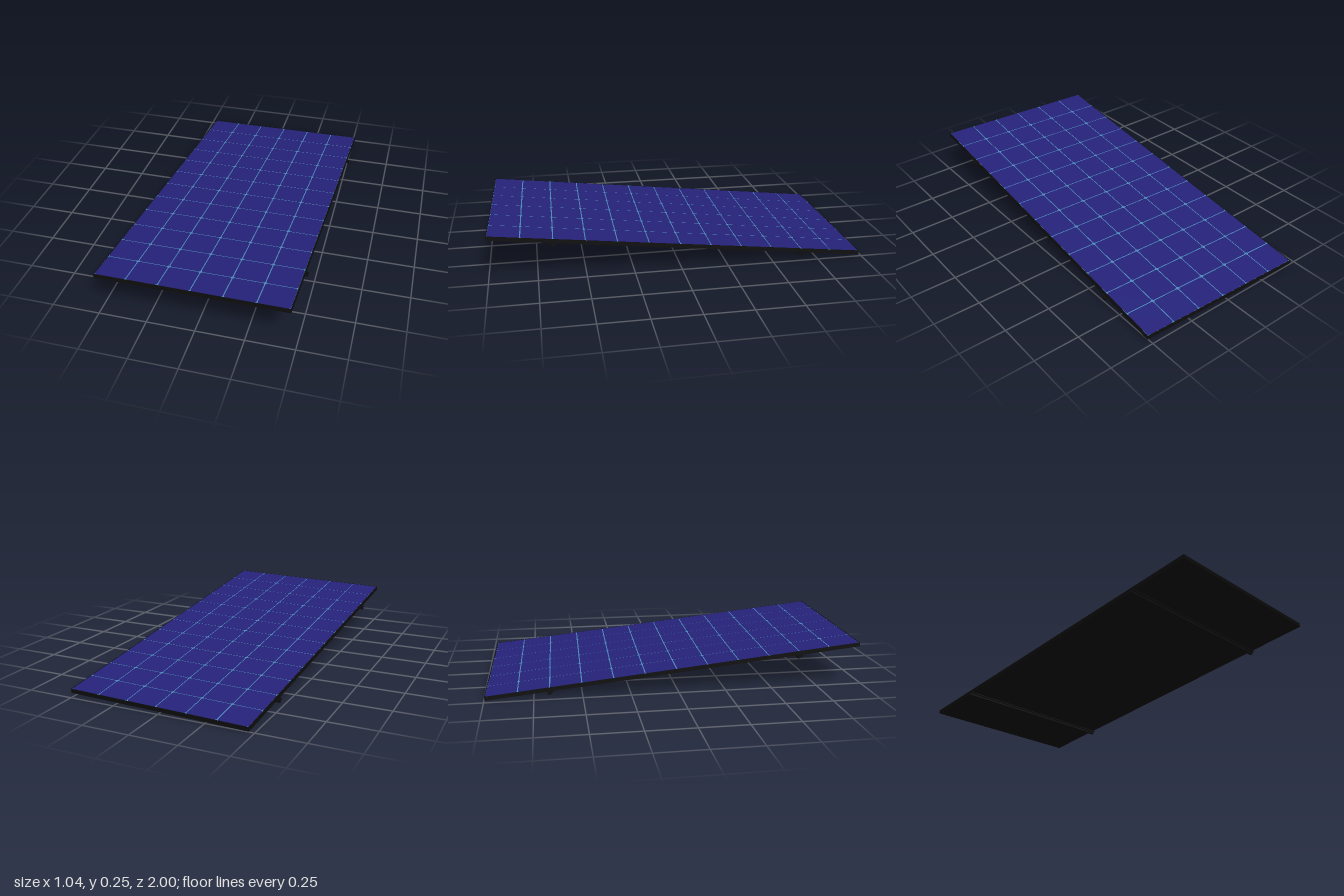
import * as THREE from 'three';

const WIDTH = 0.985, LENGTH = 1.987, THICK = 0.021;
const COLS = 6, ROWS = 12;

const paint = (color) => new THREE.MeshStandardMaterial({ color });
const black = paint(0x0c0c0c), cellBlue = paint(0x25227a), gridBlue = paint(0x4a86b8);

function box(name, size, pos, material, parent) {
  const mesh = new THREE.Mesh(new THREE.BoxGeometry(...size), material);
  mesh.name = name;
  mesh.position.set(...pos);
  parent.add(mesh);
  return mesh;
}

// Square cell with clipped corners, lying flat with its top at y = depth
function cellGeometry(w, l, cut, depth) {
  const x = w / 2, y = l / 2;
  const shape = new THREE.Shape([
    [-x + cut, -y], [x - cut, -y], [x, -y + cut], [x, y - cut],
    [x - cut, y], [-x + cut, y], [-x, y - cut], [-x, -y + cut],
  ].map(([a, b]) => new THREE.Vector2(a, b)));
  return new THREE.ExtrudeGeometry(shape, { depth, bevelEnabled: false }).rotateX(-Math.PI / 2);
}

export function createModel() {
  const model = new THREE.Group();
  model.name = 'solarPanel';

  // Everything is built flat in this group, which is then tilted
  const panel = new THREE.Group();
  panel.name = 'tiltedPanel';
  model.add(panel);

  // Frame: a core slab with three slightly prouder ribs round the rim
  const frame = new THREE.Group();
  frame.name = 'frame';
  panel.add(frame);
  box('frameCore', [WIDTH - 0.004, THICK - 0.004, LENGTH - 0.004], [0, -0.0005, 0], black, frame);
  const rim = new THREE.Shape();
  const rect = (path, w, l) => path.moveTo(-w, -l).lineTo(w, -l).lineTo(w, l).lineTo(-w, l).closePath();
  rect(rim, WIDTH / 2, LENGTH / 2);
  const opening = new THREE.Path();
  rect(opening, WIDTH / 2 - 0.004, LENGTH / 2 - 0.004);
  rim.holes.push(opening);
  const ribGeometry = new THREE.ExtrudeGeometry(rim, { depth: 0.005, bevelEnabled: false }).rotateX(-Math.PI / 2);
  for (const y of [-0.0105, -0.0025, 0.0055]) {
    const rib = new THREE.Mesh(ribGeometry, black);
    rib.name = 'frameRib';
    rib.position.y = y;
    frame.add(rib);
  }
  box('backSheet', [WIDTH - 0.008, 0.003, LENGTH - 0.008], [0, -0.009, 0], black, panel);

  // Light sheet showing between the cells
  box('gridSheet', [WIDTH - 0.008, 0.003, LENGTH - 0.008], [0, 0.008, 0], gridBlue, panel);

  // Cells
  const cells = new THREE.Group();
  cells.name = 'cells';
  panel.add(cells);
  const pitchX = (WIDTH - 0.004) / COLS, pitchZ = (LENGTH - 0.004) / ROWS;
  const cellShape = cellGeometry(pitchX - 0.006, pitchZ - 0.006, 0.007, 0.0015);
  for (let i = 0; i < COLS; i++) {
    for (let j = 0; j < ROWS; j++) {
      const cell = new THREE.Mesh(cellShape, cellBlue);
      cell.name = 'cell';
      cell.position.set((i - (COLS - 1) / 2) * pitchX, 0.0093, (j - (ROWS - 1) / 2) * pitchZ);
      cells.add(cell);
    }
  }

  // Two mounting rails under the panel, poking out at both sides
  for (const side of [-1, 1]) {
    const rail = new THREE.Group();
    rail.name = side > 0 ? 'frontRail' : 'backRail';
    rail.position.set(0, -THICK / 2, side * 0.66);
    panel.add(rail);
    box('railBody', [1.008, 0.014, 0.016], [0, -0.007, -0.004], black, rail);
    box('railFlange', [1.008, 0.005, 0.03], [0, -0.0025, 0], black, rail);
  }

  // Tilt: front end up, with a slight roll and turn
  const across = new THREE.Vector3(0.985, 0.016, 0.02).normalize();
  const along = new THREE.Vector3(-0.043, 0.212, 1.975).normalize();
  const up = along.clone().cross(across).normalize();
  across.crossVectors(up, along);
  panel.quaternion.setFromRotationMatrix(new THREE.Matrix4().makeBasis(across, up, along));
  panel.position.y = 0.125;

  return model;
}
